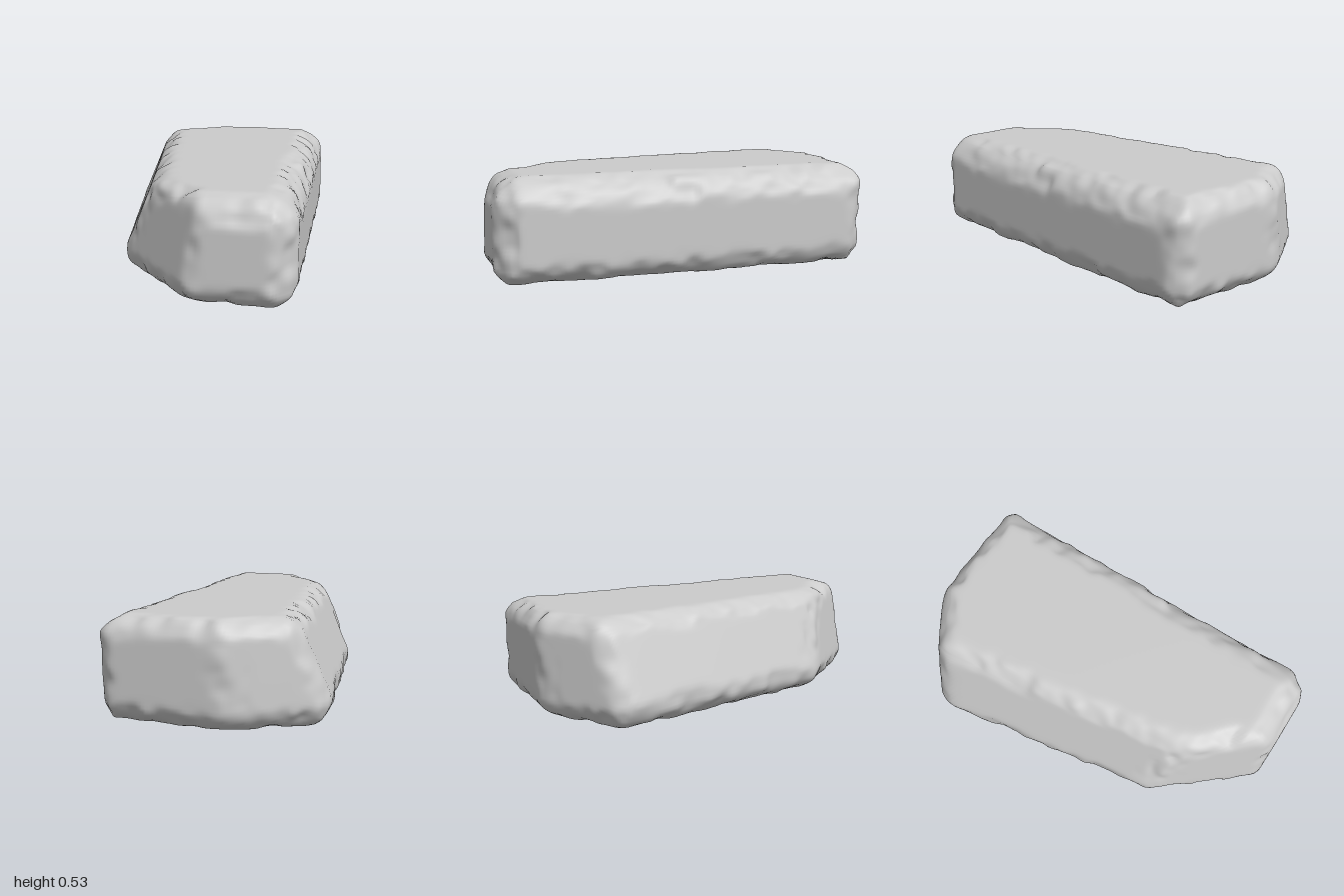
import * as THREE from 'three';
import { mergeVertices } from 'three/addons/utils/BufferGeometryUtils.js';

// Main faces of the slab: normal, offset along it, and edge wear radius
const faces = [
  [[0, 1, 0], 0.535, 0.17],            // top
  [[0, -1, 0], 0, 0.12],               // underside
  [[1, 0, 0], 0.555, 0.18],            // straight long side
  [[0, 0, 1], 1, 0.16],                // front end
  [[0.03, 0, -1], 0.998, 0.12],        // back end
  [[-1, 0.42, 0.155], 0.504, 0.12],    // sloping long side
  [[-0.45, 0.107, 0.38], 0.378, 0.12], // front corner cut
  [[-0.22, 0.03, -0.37], 0.404, 0.12], // back corner cut
].map(([n, d, r]) => {
  const v = new THREE.Vector3(...n), len = v.length();
  return { n: v.divideScalar(len), d: d / len, r };
});

// Plane touching the rounded edge or corner where some faces meet
const bevels = [];
function addBevel(meeting, weights) {
  const r = Math.min(...meeting.map((f) => f.r));
  const n = new THREE.Vector3();
  let d = 0;
  meeting.forEach((f, i) => {
    n.addScaledVector(f.n, weights[i]);
    d += weights[i] * (f.d - r);
  });
  const len = n.length();
  bevels.push({ n: n.divideScalar(len), d: d / len + r });
}
const meet = (a, b) => a.n.dot(b.n) > -0.6;
faces.forEach((a, i) => faces.slice(i + 1).forEach((b, j) => {
  if (!meet(a, b)) return;
  for (const w of [[1, 1], [2, 1], [1, 2]]) addBevel([a, b], w);
  for (const c of faces.slice(i + j + 2)) {
    if (meet(a, c) && meet(b, c)) addBevel([a, b, c], [1, 1, 1]);
  }
}));

// Smooth value noise from 0 to 1 on a unit lattice
function hash(x, y, z) {
  const s = Math.sin(x * 127.1 + y * 311.7 + z * 74.7) * 43758.5453;
  return s - Math.floor(s);
}
function noise(x, y, z) {
  const c = [x, y, z].map(Math.floor);
  const t = [x, y, z].map((v, i) => THREE.MathUtils.smoothstep(v - c[i], 0, 1));
  let sum = 0;
  for (let k = 0; k < 8; k++) {
    const o = [k & 1, (k >> 1) & 1, k >> 2];
    const w = o.reduce((m, bit, i) => m * (bit ? t[i] : 1 - t[i]), 1);
    sum += w * hash(c[0] + o[0], c[1] + o[1], c[2] + o[2]);
  }
  return sum;
}

// Signed distance to the stone: flat faces blended with chipped bevels
const SOFT = 0.0035;
function distance(p) {
  const chip = 0.026 * noise(p.x * 14, p.y * 14, p.z * 14) - 0.009;
  let sum = 0;
  for (const f of faces) sum += Math.exp((f.n.dot(p) - f.d) / SOFT);
  for (const b of bevels) sum += Math.exp((b.n.dot(p) - b.d + chip) / SOFT);
  return SOFT * Math.log(sum);
}

export function createModel() {
  const group = new THREE.Group();
  group.name = 'stoneSlab';

  // Fine box whose vertices are moved along rays from the core onto the stone
  let geometry = new THREE.BoxGeometry(1, 0.53, 1.96, 52, 28, 96);
  geometry.deleteAttribute('normal');
  geometry.deleteAttribute('uv');
  geometry = mergeVertices(geometry);
  const core = new THREE.Vector3(0.05, 0.265, 0);
  const pos = geometry.attributes.position;
  const ray = new THREE.Vector3(), p = new THREE.Vector3();
  for (let i = 0; i < pos.count; i++) {
    ray.fromBufferAttribute(pos, i);
    let near = 0.3, far = 1.6;
    for (let k = 0; k < 16; k++) {
      const mid = (near + far) / 2;
      p.copy(core).addScaledVector(ray, mid);
      if (distance(p) < 0) near = mid; else far = mid;
    }
    p.copy(core).addScaledVector(ray, near);
    pos.setXYZ(i, p.x, p.y, p.z);
  }
  geometry.computeVertexNormals();

  const stone = new THREE.Mesh(geometry, new THREE.MeshStandardMaterial({ color: 0xcccccc }));
  stone.name = 'stone';
  group.add(stone);
  return group;
}
